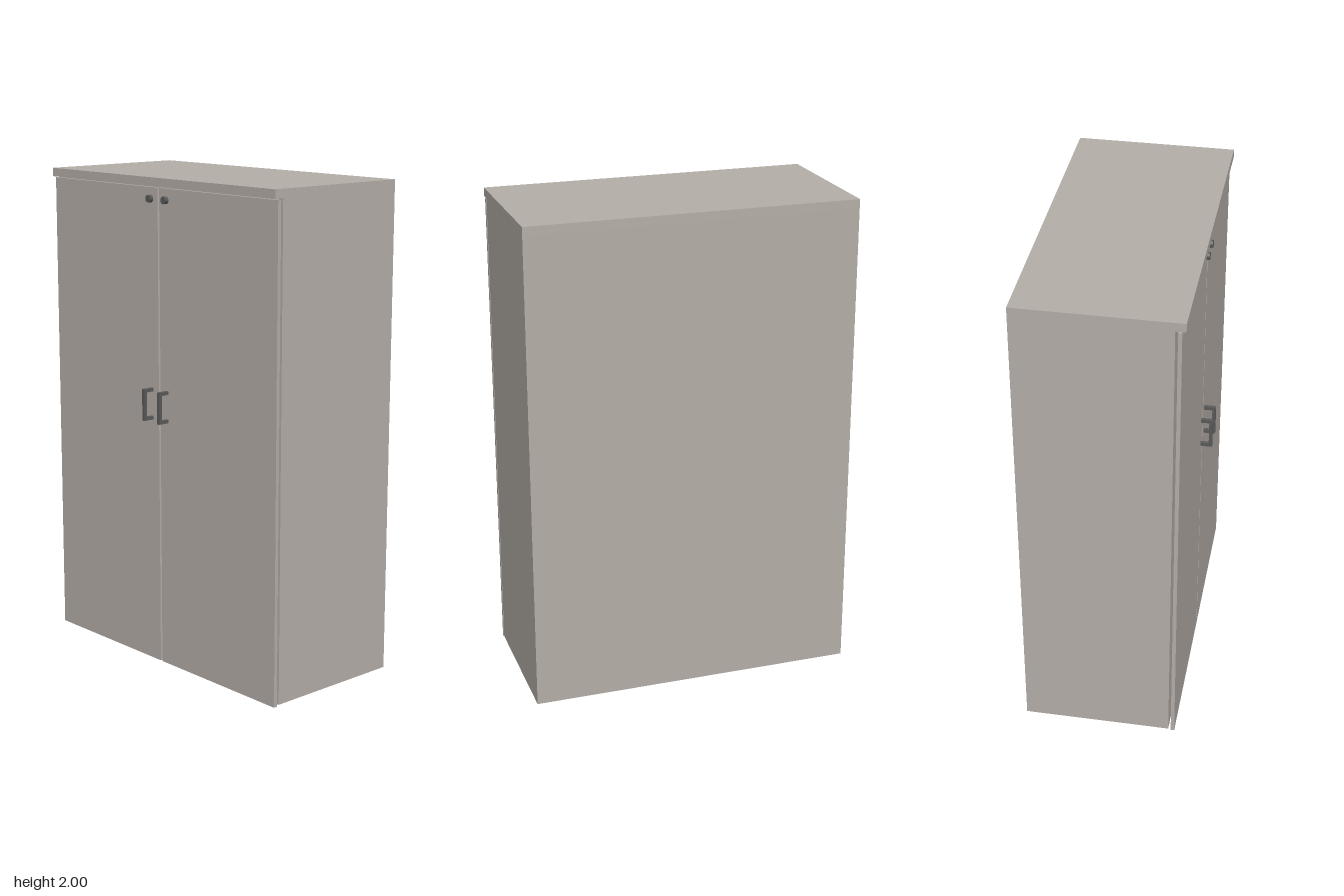
import * as THREE from 'three';

const panelMat = new THREE.MeshStandardMaterial({ color: 0xb5aea8 });
const metalMat = new THREE.MeshStandardMaterial({ color: 0x5a5a5a });

// Box given by its lower and upper corners
function box(name, material, [x0, y0, z0], [x1, y1, z1]) {
  const mesh = new THREE.Mesh(new THREE.BoxGeometry(x1 - x0, y1 - y0, z1 - z0), material);
  mesh.position.set((x0 + x1) / 2, (y0 + y1) / 2, (z0 + z1) / 2);
  mesh.name = name;
  return mesh;
}

// Square bar handle standing off the door on two posts
function makeHandle(z) {
  const handle = new THREE.Group();
  handle.name = 'handle';
  const w = 0.007;
  handle.add(box('handleGrip', metalMat, [-0.338, 1.025, z - w], [-0.324, 1.155, z + w]));
  for (const y of [1.025, 1.141]) {
    handle.add(box('handlePost', metalMat, [-0.324, y, z - w], [-0.29, y + 0.014, z + w]));
  }
  return handle;
}

// Round lock facing -x
function makeLock(z) {
  const lock = new THREE.Mesh(new THREE.CylinderGeometry(0.015, 0.015, 0.016, 24), metalMat);
  lock.name = 'lock';
  lock.rotation.z = Math.PI / 2;
  lock.position.set(-0.298, 1.915, z);
  return lock;
}

export function createModel() {
  const model = new THREE.Group();
  model.name = 'cabinet';
  const depth = 0.67, mid = -0.004, gap = 0.005;

  // Carcass and overhanging top
  model.add(box('carcass', panelMat, [-0.265, 0.005, -depth], [0.335, 1.965, depth]));
  model.add(box('topPanel', panelMat, [-0.305, 1.965, -depth], [0.335, 2, depth]));

  // Two doors on the -x side, each with handle and lock
  for (const side of [-1, 1]) {
    const inner = mid + side * gap, outer = side * depth;
    const door = new THREE.Group();
    door.name = side > 0 ? 'frontDoor' : 'rearDoor';
    door.add(box('doorPanel', panelMat,
      [-0.29, 0, Math.min(inner, outer)], [-0.275, 1.96, Math.max(inner, outer)]));
    door.add(makeHandle(mid + side * 0.046), makeLock(mid + side * 0.046));
    model.add(door);
  }
  return model;
}
